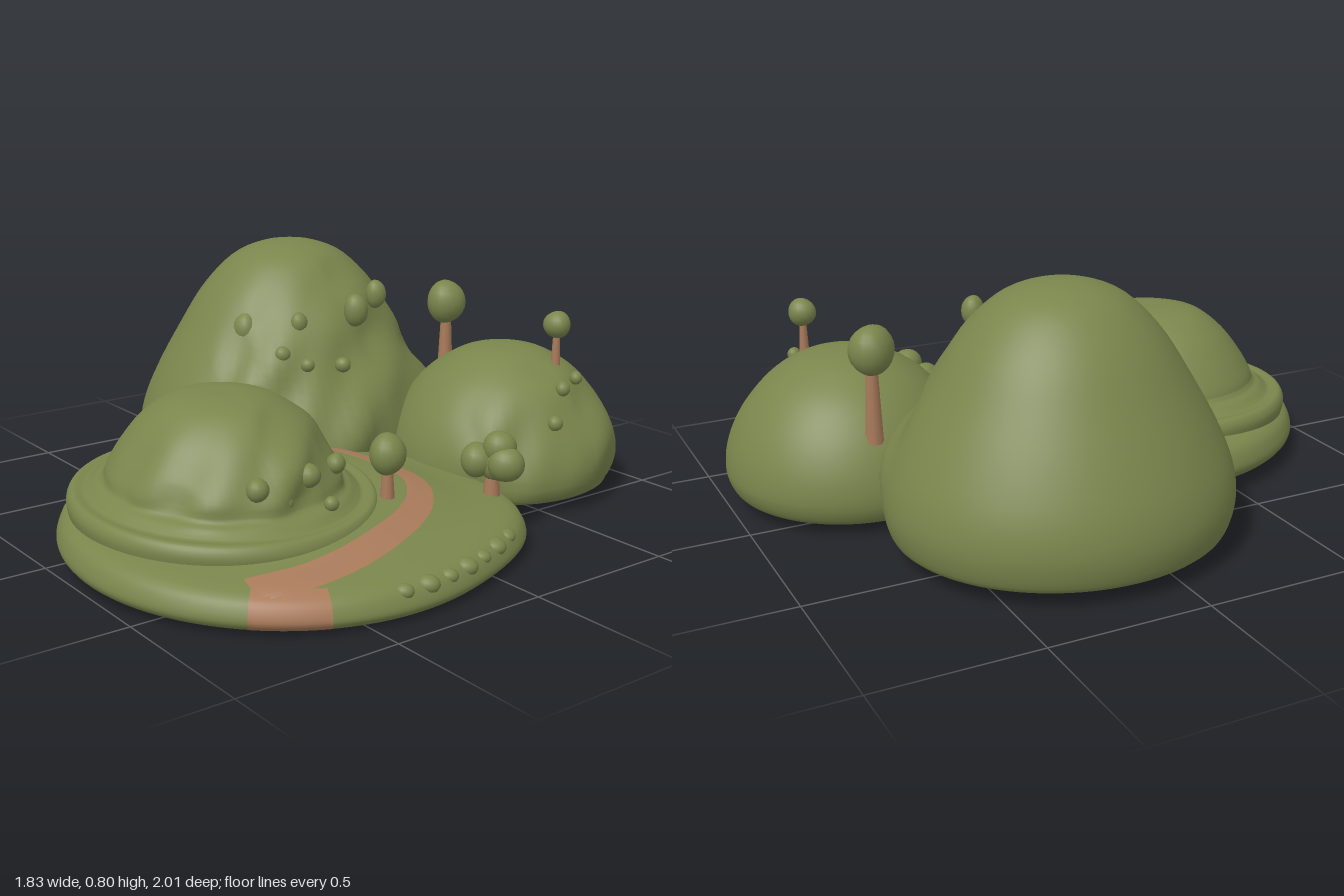
import * as THREE from 'three';
import { mergeVertices } from 'three/addons/utils/BufferGeometryUtils.js';

const green = new THREE.MeshStandardMaterial({ color: 0x7a854c });
green.name = 'grassGreen';
const brown = new THREE.MeshStandardMaterial({ color: 0xa87a5a, side: THREE.DoubleSide });
brown.name = 'earthBrown';

const v2 = (p) => p.map(([r, y]) => new THREE.Vector2(r, y));
const bell = (d, w) => Math.exp(-(d * d) / (w * w));

// Uneven, creased ground texture
const rough = (x, y, z) =>
  Math.abs(Math.sin(11 * x + 5 * y + 2.2 * Math.sin(9 * z))) *
  Math.sin(13 * y + 8 * z + 2 * Math.sin(10 * x)) + 0.5 * Math.sin(25 * z - 19 * x + 14 * y);

// Moves every vertex by a rule and welds the seam for smooth normals
function warp(geo, rule) {
  const p = geo.attributes.position, v = new THREE.Vector3();
  for (let i = 0; i < p.count; i++) {
    v.fromBufferAttribute(p, i);
    rule(v);
    p.setXYZ(i, v.x, v.y, v.z);
  }
  geo.deleteAttribute('normal');
  geo.deleteAttribute('uv');
  const out = mergeVertices(geo, 1e-5);
  out.computeVertexNormals();
  return out;
}

function add(group, name, geo, mat, x = 0, y = 0, z = 0) {
  const m = new THREE.Mesh(geo, mat);
  m.name = name;
  m.position.set(x, y, z);
  group.add(m);
  return m;
}

// Closed profile: flat base ring, then a smooth spline over the flank
function profile(baseR, baseY, flank, n = 40) {
  const pts = [new THREE.Vector2(0, baseY), new THREE.Vector2(baseR * 0.6, baseY),
    new THREE.Vector2(baseR * 0.97, baseY),
    ...new THREE.SplineCurve(v2([[baseR, baseY], ...flank])).getPoints(n)];
  pts.forEach((p) => { p.x = Math.max(0, p.x); });
  pts[pts.length - 1].x = 0;
  return pts;
}

// Meadow disc: shared outline and height rules
const DISC = { x: 0.25, z: 0.34 };
const deckTop = [[0, 0.19], [0.35, 0.183], [0.5, 0.15], [0.6, 0.135], [0.64, 0.118], [0.66, 0.09], [0.67, 0.06]];
const outline = (x, z) => 1 + 0.115 * bell(Math.atan2(x, -z) - 0.56, 0.42);
const tilt = (x, y) => -x * (0.025 + 0.2 * y);
function deckY(wx, wz) {
  const x = wx - DISC.x, z = wz - DISC.z, r = Math.hypot(x, z) / outline(x, z);
  let i = 0;
  while (i < deckTop.length - 2 && r > deckTop[i + 1][0]) i++;
  const [a, b] = [deckTop[i], deckTop[i + 1]];
  const y = a[1] + (b[1] - a[1]) * Math.min(1, (r - a[0]) / (b[0] - a[0]));
  return y + tilt(x, y);
}
function shapeDisc(v) {
  const s = outline(v.x, v.z);
  v.x *= s;
  v.z *= s;
  v.y += tilt(v.x, v.y);
}

// Winding path laid over the disc
function pathGeometry() {
  const curve = new THREE.CatmullRomCurve3([[-0.02, 0.05], [0.15, -0.02], [0.3, -0.05], [0.42, -0.04],
    [0.53, 0.03], [0.61, 0.13], [0.68, 0.28], [0.725, 0.43], [0.74, 0.58], [0.715, 0.755]]
    .map(([x, z]) => new THREE.Vector3(x, 0, z)));
  const n = 60, cols = 6, pos = [], idx = [];
  for (let i = 0; i <= n; i++) {
    const t = i / n, c = curve.getPointAt(t), d = curve.getTangentAt(t), w = 0.026 + 0.032 * t;
    for (let j = 0; j <= cols; j++) {
      const s = (j / cols * 2 - 1) * w, x = c.x - d.z * s, z = c.z + d.x * s;
      pos.push(x, deckY(x, z) + 0.008, z);
      if (i < n && j < cols) {
        const a = i * (cols + 1) + j, b = a + cols + 1;
        idx.push(a, a + 1, b, b, a + 1, b + 1);
      }
    }
  }
  const g = new THREE.BufferGeometry();
  g.setAttribute('position', new THREE.Float32BufferAttribute(pos, 3));
  g.setIndex(idx);
  g.computeVertexNormals();
  return g;
}

// Lumpy foliage ball
function ball(group, name, x, y, z, r, stretch = 1) {
  const g = warp(new THREE.SphereGeometry(r, 18, 12), (v) => {
    v.multiplyScalar(1 + 0.06 * Math.sin(2.6 * v.x / r + x * 20) * Math.cos(2.4 * v.z / r + 1));
    v.y *= stretch;
  });
  return add(group, name, g, green, x, y, z);
}

function tree(root, name, x, z, foot, y, r, stretch) {
  const g = new THREE.Group();
  g.name = name;
  const h = y - foot;
  add(g, 'trunk', new THREE.CylinderGeometry(r * 0.22, r * 0.42, h, 10), brown, x, foot + h / 2, z);
  ball(g, 'crown', x, y, z, r, stretch);
  root.add(g);
}

export function createModel() {
  const root = new THREE.Group();
  root.name = 'hillyLandscape';

  // Large hill, smooth on the outside and rough toward the path
  const big = profile(0.455, 0.045, [[0.49, 0.065], [0.51, 0.15], [0.495, 0.25], [0.445, 0.37],
    [0.375, 0.5], [0.29, 0.64], [0.19, 0.745], [0.09, 0.79], [0, 0.8]]);
  add(root, 'largeHill', warp(new THREE.LatheGeometry(big, 96), (v) => {
    const m = THREE.MathUtils.smoothstep(v.x, 0.08, 0.25) * (v.y > 0.06 ? 1 : 0);
    const k = 1 + 0.035 * m * rough(v.x, v.y, v.z);
    v.set(v.x * k * 0.97, v.y, v.z * k * 1.045);
  }), green, -0.42, 0, -0.165);

  // Back hill
  const back = profile(0.33, 0.03, [[0.365, 0.05], [0.386, 0.11], [0.372, 0.2], [0.325, 0.3],
    [0.25, 0.39], [0.15, 0.455], [0.07, 0.478], [0, 0.482]]);
  add(root, 'backHill', warp(new THREE.LatheGeometry(back, 80), (v) => {
    const m = THREE.MathUtils.smoothstep(v.x, 0.05, 0.25) * (v.y > 0.05 ? 1 : 0);
    const k = 1 + 0.03 * m * rough(v.x, v.y + 1, v.z);
    v.x *= k;
    v.z *= k;
    v.y += 0.02 * (-v.z - 0.2) * (v.y < 0.1 ? 1 : 0);
  }), green, 0.195, 0, -0.615);

  // Meadow disc
  const rim = [[0.645, 0.028], [0.667, 0.055], [0.66, 0.09], [0.64, 0.118], [0.6, 0.135]];
  const disc = profile(0.6, 0.018, [...rim, [0.5, 0.15], [0.35, 0.183], [0.15, 0.189], [0, 0.19]], 50);
  add(root, 'meadowDisc', warp(new THREE.LatheGeometry(disc, 96), shapeDisc), green, DISC.x, 0, DISC.z);

  // Path and its end running down over the rim
  add(root, 'path', pathGeometry(), brown);
  const end = new THREE.SplineCurve(v2([[0.615, 0.018], ...rim])).getPoints(16);
  end.forEach((p) => { p.x += 0.006; p.y += 0.003; });
  add(root, 'pathEnd', warp(new THREE.LatheGeometry(end, 14, 0.83, 0.33), shapeDisc), brown, DISC.x, 0, DISC.z);

  // Front mound on a stepped terrace
  const mound = new THREE.SplineCurve(v2([[0.475, 0.12], [0.482, 0.165], [0.465, 0.195], [0.43, 0.193],
    [0.415, 0.2], [0.395, 0.215], [0.37, 0.23], [0.355, 0.27], [0.31, 0.34], [0.25, 0.41],
    [0.17, 0.465], [0.08, 0.487], [0, 0.488]])).getPoints(60);
  mound[60].x = 0;
  add(root, 'frontMound', warp(new THREE.LatheGeometry(mound, 96), (v) => {
    const m = THREE.MathUtils.smoothstep(v.y, 0.2, 0.26) * THREE.MathUtils.smoothstep(v.x, -0.25, 0.2);
    const k = 1 + 0.05 * m * rough(v.x, v.y, v.z + 0.4), low = v.y < 0.24 ? 1 : 0.5;
    v.set(v.x * k, v.y - 0.045 * v.x * low, v.z * k * 0.95);
  }), green, 0.165, 0, 0.49);

  // Trees
  tree(root, 'tallThinTree', 0.365, -0.69, 0.38, 0.565, 0.044, 1.0);
  tree(root, 'saddleTree', -0.12, -0.635, 0.28, 0.57, 0.07, 1.1);
  tree(root, 'pathTree', 0.485, 0.12, 0.13, 0.305, 0.058, 1.1);

  // Clustered bush at the back of the meadow
  const bush = new THREE.Group();
  bush.name = 'clusteredBush';
  add(bush, 'trunk', new THREE.CylinderGeometry(0.018, 0.028, 0.12, 10), brown, 0.54, 0.16, -0.25);
  [[0.5, 0.225, -0.225, 0.055], [0.585, 0.225, -0.265, 0.055], [0.55, 0.27, -0.27, 0.052], [0.54, 0.215, -0.27, 0.055]]
    .forEach(([x, y, z, r]) => ball(bush, 'foliage', x, y, z, r));
  root.add(bush);

  // Small shrubs on the mound
  [[0.485, 0.295, 0.405, 0.035], [0.49, 0.29, 0.585, 0.034], [0.5, 0.24, 0.5, 0.026], [0.43, 0.29, 0.27, 0.03],
    [0.53, 0.215, 0.36, 0.022]].forEach(([x, y, z, r]) => ball(root, 'moundShrub', x, y, z, r));

  // Lumps on the large and back hills
  [[-0.27, 0.54, 0.115, 0.045, 1.3], [-0.14, 0.57, -0.01, 0.03, 1.2], [-0.12, 0.48, 0.07, 0.028, 1],
    [-0.08, 0.6, -0.2, 0.04, 1.4], [-0.1, 0.64, -0.3, 0.035, 1.4], [-0.02, 0.44, -0.1, 0.025, 1],
    [-0.05, 0.45, 0.02, 0.022, 1], [0.47, 0.38, -0.62, 0.025, 1], [0.45, 0.4, -0.7, 0.022, 1],
    [0.52, 0.29, -0.54, 0.025, 1]].forEach(([x, y, z, r, s]) => ball(root, 'hillLump', x, y, z, r, s));

  // Tufts along the outer rim
  for (let i = 0; i < 7; i++) {
    const a = 1.5 + i * 0.13;
    const s = outline(Math.sin(a), Math.cos(a)) * 0.635;
    const x = DISC.x + Math.sin(a) * s, z = DISC.z + Math.cos(a) * s;
    ball(root, 'rimTuft', x, deckY(x, z) - 0.012, z, 0.027 + 0.006 * (i % 2), 0.8);
  }
  return root;
}
